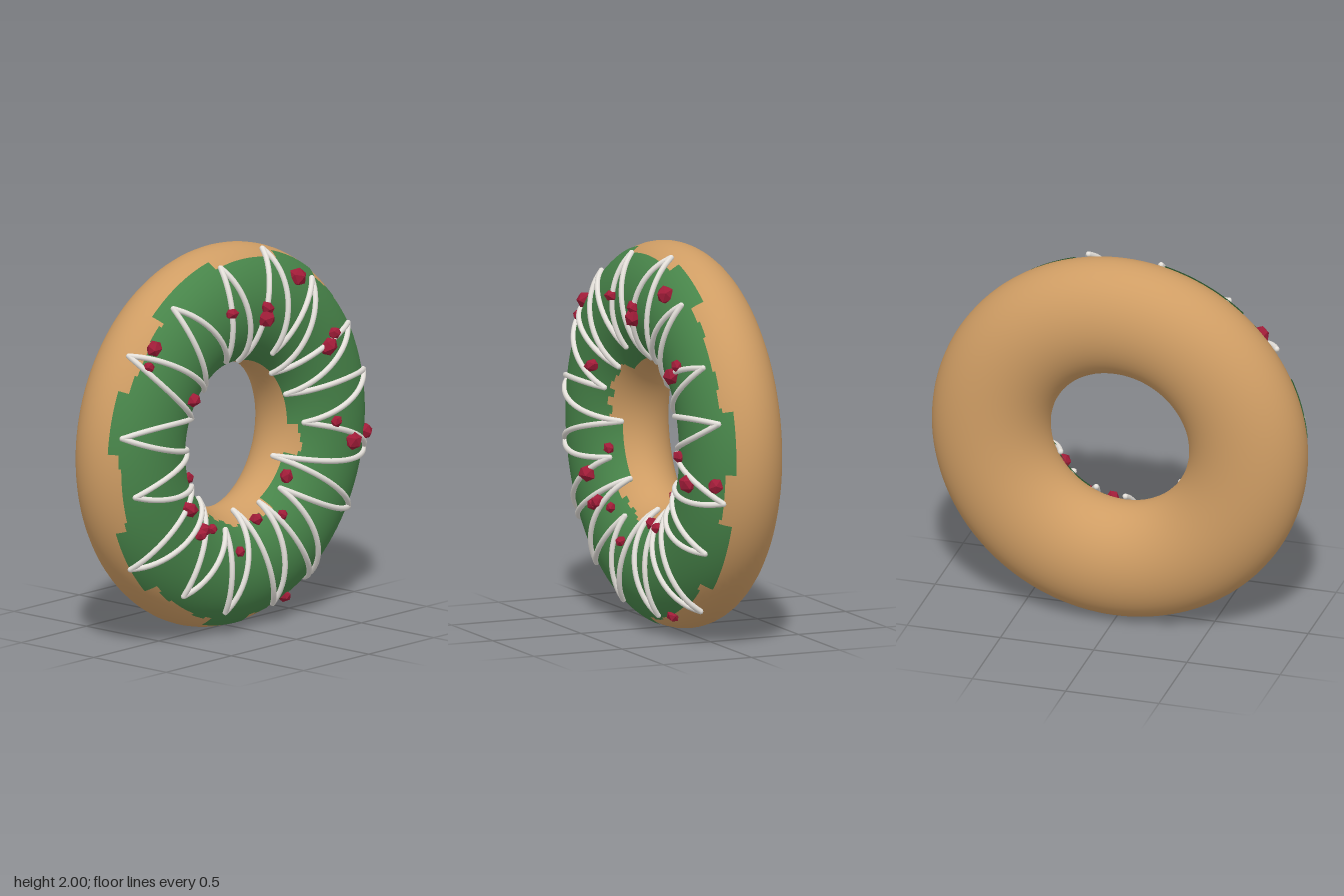
import * as THREE from 'three';

const R = 0.69, RADIAL = 0.31, DEPTH = 0.25, CY = 1, CZ = -0.03;
const DEG = Math.PI / 180;

const mat = (name, color, flatShading = false) => {
  const m = new THREE.MeshStandardMaterial({ color, flatShading });
  m.name = name;
  return m;
};

// Small seeded random generator
function seeded(seed) {
  return () => (seed = (seed * 16807) % 2147483647) / 2147483647;
}

// Outward normal of the ring at angle t around it and angle p around its section
function ringNormal(t, p) {
  const c = Math.cos(p) / RADIAL, s = Math.sin(p) / DEPTH;
  return new THREE.Vector3(c * Math.cos(t), c * Math.sin(t), s).normalize();
}

// Point on the ring, lifted along the normal
function ringPoint(t, p, lift = 0) {
  const r = R + RADIAL * Math.cos(p);
  return new THREE.Vector3(r * Math.cos(t), CY + r * Math.sin(t), CZ + DEPTH * Math.sin(p))
    .addScaledVector(ringNormal(t, p), lift);
}

// Ring angles of the front-surface point seen at x, y
function ringAngles(x, y) {
  const c = (Math.hypot(x, y - CY) - R) / RADIAL;
  return [Math.atan2(y - CY, x), Math.acos(THREE.MathUtils.clamp(c, -0.98, 0.98))];
}

// Icing shell: a grid over the front, with cells left out along a ragged edge
function icingGeometry() {
  const cols = 240, rows = 50, step = 3, start = 15;
  const outerGaps = [[16, 53], [73, 102], [130, 155], [175, 200], [225, 255], [272, 315], [340, 356]];
  const innerGaps = [[130, 176], [225, 298], [338, 360]];
  const inGap = (list, a) => list.some(([from, to]) => a >= from && a < to);
  const pos = [], nor = [], idx = [], rand = seeded(77);
  for (let i = 0; i <= cols; i++) for (let j = 0; j <= rows; j++) {
    const t = (i / cols) * Math.PI * 2, p = (start + j * step) * DEG;
    pos.push(...ringPoint(t, p, 0.006).toArray());
    nor.push(...ringNormal(t, p).toArray());
  }
  let wobbleOut = 0, wobbleIn = 0;
  for (let i = 0; i < cols; i++) {
    const a = (i / cols) * 360;
    if (i % 4 === 0) {
      wobbleOut = Math.floor(rand() * 2) * step;
      wobbleIn = Math.floor(rand() * 3) * step;
    }
    const low = inGap(outerGaps, a) ? 36 + wobbleOut : 24;
    const high = inGap(innerGaps, a) ? 144 - wobbleIn : 156;
    for (let j = 0; j < rows; j++) {
      const p = start + j * step;
      if (p < low || p + step > high) continue;
      const q = i * (rows + 1) + j, n = q + rows + 1;
      idx.push(q, n, n + 1, q, n + 1, q + 1);
    }
  }
  const g = new THREE.BufferGeometry();
  g.setAttribute('position', new THREE.Float32BufferAttribute(pos, 3));
  g.setAttribute('normal', new THREE.Float32BufferAttribute(nor, 3));
  g.setIndex(idx);
  return g;
}

export function createModel() {
  const model = new THREE.Group();
  model.name = 'wreathDonut';
  const dough = mat('golden dough', 0xcf9d64);
  const green = mat('green icing', 0x48854a);
  green.side = THREE.DoubleSide;
  const white = mat('white drizzle', 0xe6e2dc);
  const red = mat('red sugar', 0xa01c38, true);

  const add = (parent, name, geometry, material) => {
    const m = new THREE.Mesh(geometry, material);
    m.name = name;
    parent.add(m);
    return m;
  };

  // Dough ring
  const ring = new THREE.TorusGeometry(R, RADIAL, 48, 128);
  ring.scale(1, 1, DEPTH / RADIAL);
  ring.translate(0, CY, CZ);
  add(model, 'doughRing', ring, dough);

  add(model, 'icing', icingGeometry(), green);

  // Zigzag drizzle, alternating outer and inner turning points
  const turns = [
    [0.2, 1.95], [0.2, 1.43], [0.49, 1.76], [0.28, 1.3], [0.76, 1.48], [0.38, 1.17],
    [0.9, 1.21], [0.46, 1.01], [0.92, 0.8], [0.35, 0.83], [0.77, 0.52], [0.3, 0.68],
    [0.53, 0.18], [0.17, 0.62], [0.2, 0.11], [0, 0.6], [-0.18, 0.13], [-0.18, 0.55],
    [-0.5, 0.27], [-0.3, 0.72], [-0.8, 0.45], [-0.42, 0.82], [-0.87, 0.85], [-0.41, 1.01],
    [-0.92, 1.16], [-0.44, 1.19], [-0.8, 1.56], [-0.32, 1.32], [-0.53, 1.77], [-0.17, 1.45],
    [-0.17, 1.92], [0, 1.42],
  ].map(([x, y]) => ringAngles(x, y));
  const drizzle = new THREE.Group();
  drizzle.name = 'drizzle';
  model.add(drizzle);
  turns.forEach(([t0, p0], i) => {
    const [t1, p1] = turns[(i + 1) % turns.length];
    const dt = Math.atan2(Math.sin(t1 - t0), Math.cos(t1 - t0));
    const path = [];
    for (let k = 0; k <= 10; k++) {
      path.push(ringPoint(t0 + dt * k / 10, p0 + (p1 - p0) * k / 10, 0.014));
    }
    add(drizzle, 'drizzleStrand', new THREE.TubeGeometry(new THREE.CatmullRomCurve3(path), 20, 0.015, 8), white);
    add(drizzle, 'drizzleTurn', new THREE.SphereGeometry(0.015, 8, 6), white).position.copy(path[0]);
  });

  // Faceted sugar berries: x, y, radius
  const berries = [
    [0.355, 1.8, 0.055], [-0.2, 1.71, 0.038], [0.07, 1.695, 0.042], [0.065, 1.64, 0.05],
    [-0.7, 1.6, 0.05], [-0.755, 1.51, 0.034], [-0.475, 1.3, 0.045], [0.59, 1.47, 0.038],
    [0.54, 1.41, 0.055], [0.61, 1, 0.036], [0.73, 0.88, 0.052], [0.905, 0.89, 0.045],
    [-0.43, 0.87, 0.034], [-0.515, 0.73, 0.052], [0.345, 0.74, 0.045], [-0.435, 0.585, 0.04],
    [-0.4, 0.6, 0.042], [-0.3, 0.585, 0.03], [0.09, 0.56, 0.038], [0.245, 0.565, 0.032],
    [-0.12, 0.44, 0.032], [0.32, 0.115, 0.036],
  ];
  const rand = seeded(4321);
  const berryGroup = new THREE.Group();
  berryGroup.name = 'sugarBerries';
  model.add(berryGroup);
  for (const [x, y, r] of berries) {
    const [t, p] = ringAngles(x, y);
    const b = add(berryGroup, 'sugarBerry', new THREE.IcosahedronGeometry(r, 0), red);
    b.position.copy(ringPoint(t, p, 0.018));
    b.position.x = x;
    b.position.y = y;
    b.rotation.set(rand() * 6, rand() * 6, rand() * 6);
    b.scale.set(1, 0.75 + rand() * 0.25, 0.8 + rand() * 0.3);
  }
  return model;
}
